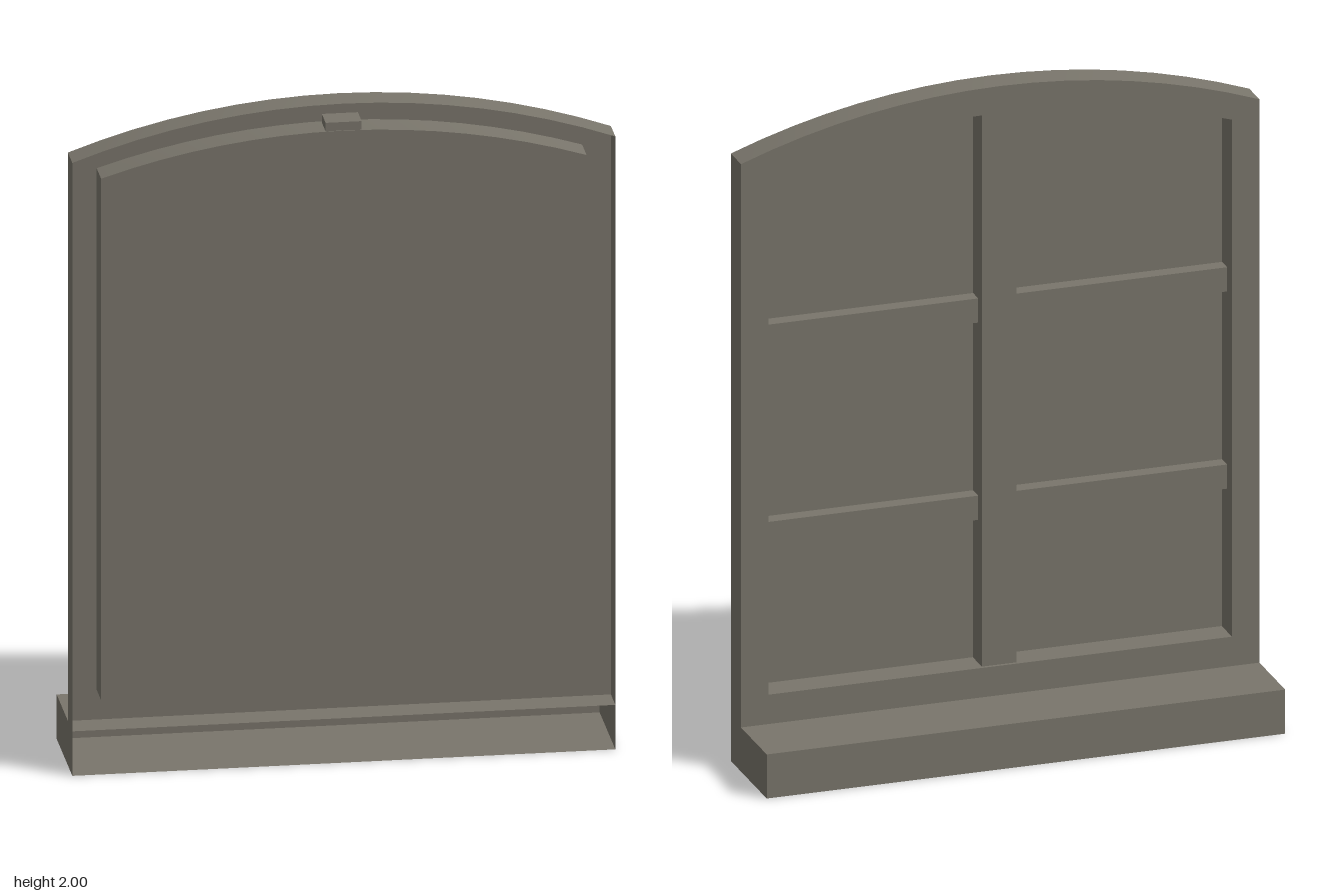
import * as THREE from 'three';
import { toCreasedNormals } from 'three/addons/utils/BufferGeometryUtils.js';

const FRONT = 0.157, BACK = 0.068, SILL_BACK = -0.157, SILL_TOP = 0.135;

// Arched outline, counter-clockwise: bottom left, bottom right, then the arc back to the left
function archPoints(half, bottom, spring, top, segments = 16) {
  const rise = top - spring;
  const radius = (half * half + rise * rise) / (2 * rise);
  const sweep = Math.asin(half / radius);
  const points = [new THREE.Vector2(-half, bottom), new THREE.Vector2(half, bottom)];
  for (let i = 0; i <= segments; i++) {
    const a = sweep * (1 - (2 * i) / segments);
    points.push(new THREE.Vector2(radius * Math.sin(a), top - radius + radius * Math.cos(a)));
  }
  return points;
}

// Strip of quads that follows a path from z0 to z1
function wallGeometry(path, z0, z1) {
  const positions = [];
  for (let i = 0; i < path.length - 1; i++) {
    const a = path[i], b = path[i + 1];
    positions.push(a.x, a.y, z0, b.x, b.y, z0, b.x, b.y, z1);
    positions.push(a.x, a.y, z0, b.x, b.y, z1, a.x, a.y, z1);
  }
  const geometry = new THREE.BufferGeometry();
  geometry.setAttribute('position', new THREE.Float32BufferAttribute(positions, 3));
  geometry.computeVertexNormals();
  return toCreasedNormals(geometry, Math.PI / 9);
}

export function createModel() {
  const group = new THREE.Group();
  group.name = 'archedWindow';
  const stone = new THREE.MeshStandardMaterial({ color: 0x79756b, side: THREE.DoubleSide });
  stone.name = 'greyStone';

  function add(name, geometry, x = 0, y = 0, z = 0) {
    const mesh = new THREE.Mesh(geometry, stone);
    mesh.name = name;
    mesh.position.set(x, y, z);
    group.add(mesh);
  }

  const outer = archPoints(0.783, SILL_TOP, 1.86, 2);
  const inner = archPoints(0.7, 0.225, 1.808, 1.918);

  // Outer rim: sides and arch, resting on the sill
  add('frameRim', wallGeometry([...outer.slice(1), outer[0]], BACK, FRONT));

  // Flat face of the frame around the opening, facing the sill side
  const faceShape = new THREE.Shape(outer);
  faceShape.holes.push(new THREE.Path(inner));
  const face = new THREE.ShapeGeometry(faceShape);
  face.rotateY(Math.PI);
  add('frameFace', face, 0, 0, BACK);

  // Reveal leading from the frame face to the pane
  const loop = [...inner, inner[0]].reverse();
  add('reveal', wallGeometry(loop, BACK, FRONT));

  // Pane closing the reveal
  add('pane', new THREE.ShapeGeometry(new THREE.Shape(inner)), 0, 0, FRONT);

  // Upright bar, slightly taller than the opening
  add('uprightBar', new THREE.BoxGeometry(0.104, 1.722, 0.076), 0, 1.082, 0.116);

  // Shallower cross bars
  for (const y of [0.7, 1.304]) {
    add('crossBar', new THREE.BoxGeometry(1.4, 0.074, 0.045), 0, y, 0.132);
  }

  // Hollow sill: a box without its +z face
  const sill = new THREE.BoxGeometry(1.566, SILL_TOP, FRONT - SILL_BACK);
  const index = Array.from(sill.index.array);
  index.splice(24, 6);
  sill.setIndex(index);
  sill.clearGroups();
  add('sill', sill, 0, SILL_TOP / 2, 0);

  return group;
}
